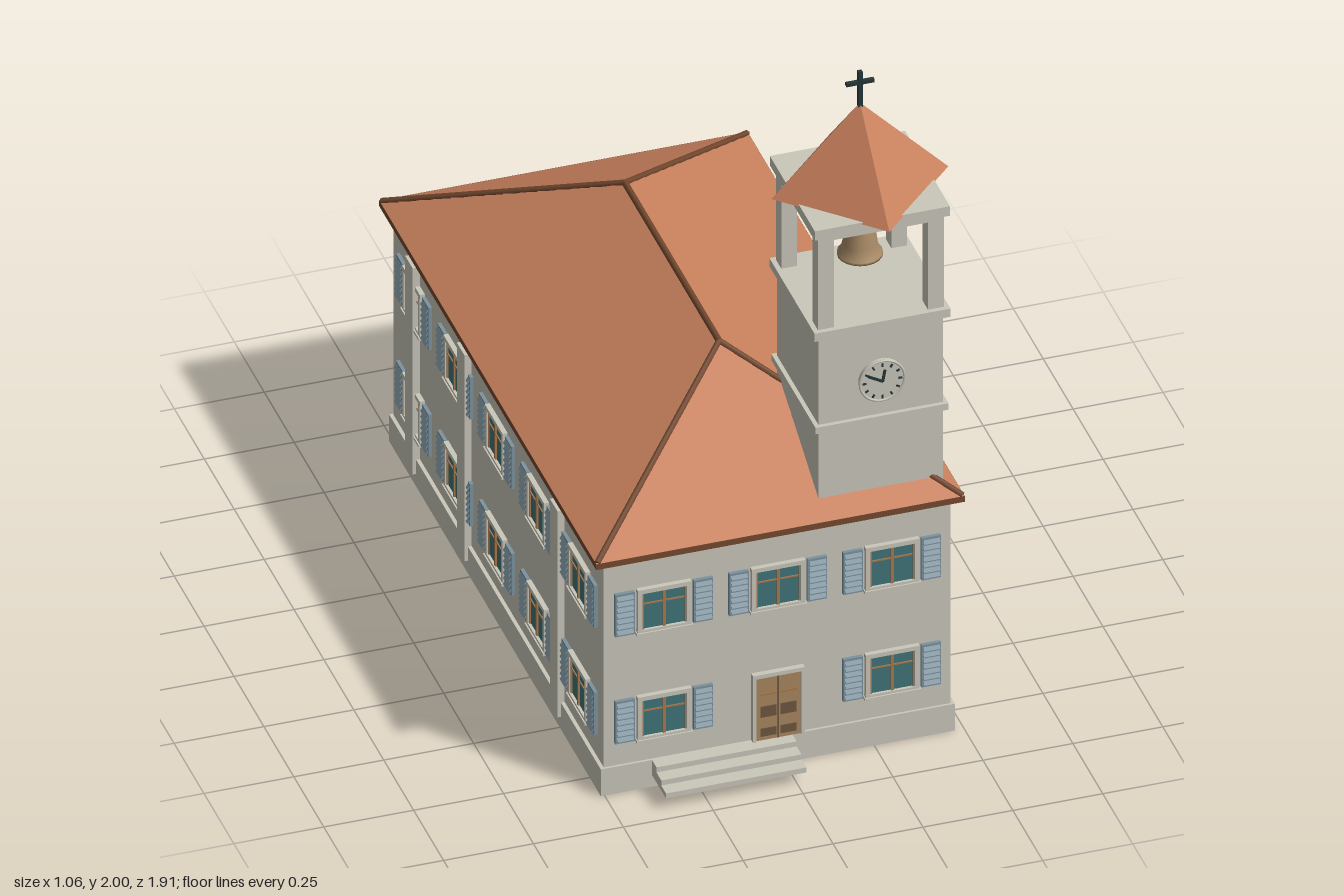
import * as THREE from 'three';

const mat = (name, color) => {
  const m = new THREE.MeshStandardMaterial({ color });
  m.name = name;
  return m;
};
const M = {
  wall: mat('plaster', 0xcac7ba),
  roof: mat('roof tile', 0xc8805c),
  trim: mat('roof trim', 0x74492f),
  shutter: mat('shutter blue', 0x7d939f),
  glass: mat('window glass', 0x3f7478),
  wood: mat('window wood', 0xa9784c),
  door: mat('door wood', 0xa88660),
  panel: mat('dark panel', 0x6e5540),
  iron: mat('dark iron', 0x263638),
  bell: mat('bell bronze', 0xa98b66),
};

function add(parent, name, geo, material, x = 0, y = 0, z = 0) {
  const m = new THREE.Mesh(geo, material);
  m.name = name;
  m.position.set(x, y, z);
  parent.add(m);
  return m;
}
const box = (parent, name, material, w, h, d, x, y, z) =>
  add(parent, name, new THREE.BoxGeometry(w, h, d), material, x, y, z);

function group(parent, name, x = 0, y = 0, z = 0) {
  const g = new THREE.Group();
  g.name = name;
  g.position.set(x, y, z);
  parent.add(g);
  return g;
}

// Round bar between two points
function bar(parent, name, material, a, b, r) {
  const m = add(parent, name, new THREE.CylinderGeometry(r, r, a.distanceTo(b), 6), material);
  m.position.copy(a).lerp(b, 0.5);
  m.quaternion.setFromUnitVectors(new THREE.Vector3(0, 1, 0), b.clone().sub(a).normalize());
}

// Window with frame, glazing bars and louvred shutters, built facing +z
function addWindow(wall, x, y, open = false) {
  const w = group(wall, 'window', x, y, 0);
  box(w, 'pane', open ? M.wall : M.glass, 0.13, 0.12, 0.006, 0, 0, 0.003);
  for (const s of [-1, 1]) {
    box(w, 'frameSide', M.wall, 0.013, 0.14, 0.014, s * 0.068, 0, 0.007);
    box(w, 'frameRail', M.wall, 0.15, 0.013, 0.014, 0, s * 0.064, 0.007);
    box(w, 'sashSide', M.wood, 0.004, 0.115, 0.006, s * 0.059, 0, 0.007);
    const sh = group(w, 'shutter', s * 0.109, 0, 0);
    box(sh, 'shutterBoard', M.shutter, 0.054, 0.134, 0.01, 0, 0, 0.005);
    for (let i = 0; i < 7; i++) {
      box(sh, 'louvre', M.shutter, 0.046, 0.012, 0.004, 0, -0.054 + i * 0.018, 0.012).rotation.x = -0.6;
    }
  }
  box(w, 'sill', M.wall, 0.156, 0.008, 0.018, 0, -0.069, 0.009);
  box(w, 'mullion', M.wood, 0.008, 0.115, 0.006, 0, 0, 0.008);
  box(w, 'glazingBar', M.wood, 0.115, 0.004, 0.005, 0, 0.022, 0.007);
}

// Hipped roof made of slightly lapped tile courses
function hipRoof(halfX, halfZ, y0, y1, courses, lip) {
  const pos = [];
  const ring = (t, out) => {
    const x = halfX * (1 - t) + out, z = halfZ - halfX * t + out, y = y0 + (y1 - y0) * t;
    return [[-x, y, z], [x, y, z], [x, y, -z], [-x, y, -z]];
  };
  const band = (a, b) => {
    for (let i = 0; i < 4; i++) {
      const j = (i + 1) % 4;
      pos.push(...a[i], ...a[j], ...b[j], ...a[i], ...b[j], ...b[i]);
    }
  };
  for (let k = 0; k < courses; k++) {
    const low = ring(k / courses, lip), high = ring((k + 1) / courses, 0);
    band(low, high);
    if (k < courses - 1) band(high, ring((k + 1) / courses, lip));
  }
  const g = new THREE.BufferGeometry();
  g.setAttribute('position', new THREE.Float32BufferAttribute(pos, 3));
  g.computeVertexNormals();
  return g;
}

export function createModel() {
  const model = new THREE.Group();
  model.name = 'townHall';
  const HX = 0.482, HZ = 0.878, ROWS = [0.225, 0.565];

  // Main building
  const house = group(model, 'house', -0.018, 0, -0.042);
  box(house, 'plinth', M.wall, 0.985, 0.085, 1.77, 0, 0.0425, 0);
  box(house, 'walls', M.wall, HX * 2, 0.66, HZ * 2, 0, 0.41, 0);

  const facade = (name, x, z, turn) => {
    const g = group(house, name, x, 0, z);
    g.rotation.y = turn;
    return g;
  };
  const front = facade('frontWall', 0, HZ, 0);
  const back = facade('backWall', 0, -HZ, Math.PI);
  for (const y of ROWS) {
    for (const x of [-0.317, 0, 0.317]) {
      if (x !== 0 || y > 0.4) addWindow(front, x, y);
      addWindow(back, x, y);
    }
  }
  for (const s of [-1, 1]) {
    const side = facade(s > 0 ? 'leftWall' : 'rightWall', s * HX, 0, s * Math.PI / 2);
    for (const y of ROWS) {
      for (let i = -2; i <= 2; i++) addWindow(side, -s * i * 0.346, y, s > 0 && i === 2);
    }
    for (const z of [0.52, -0.258, -0.69]) {
      box(side, 'pilaster', M.wall, 0.064, 0.655, 0.022, -s * z, 0.3675, 0.009);
    }
  }

  // Door
  const door = group(front, 'door', 0, 0.085, 0);
  box(door, 'doorLeaf', M.door, 0.126, 0.2, 0.01, 0, 0.1, 0.005);
  for (const s of [-1, 1]) {
    box(door, 'doorJamb', M.wall, 0.01, 0.212, 0.016, s * 0.067, 0.106, 0.008);
    box(door, 'doorPanel', M.panel, 0.044, 0.034, 0.006, s * 0.028, 0.09, 0.009);
    box(door, 'doorPanel', M.panel, 0.044, 0.025, 0.006, s * 0.028, 0.025, 0.009);
    box(door, 'doorRail', M.wood, 0.044, 0.006, 0.006, s * 0.028, 0.145, 0.009);
  }
  box(door, 'doorHead', M.wall, 0.144, 0.012, 0.016, 0, 0.206, 0.008);
  box(door, 'doorGap', M.panel, 0.003, 0.2, 0.006, 0, 0.1, 0.008);

  // Entrance steps
  for (let i = 0; i < 3; i++) {
    const d = 0.125 - i * 0.04;
    box(model, 'step', M.wall, 0.39, 0.016, d, -0.173, 0.045 + i * 0.016, 0.835 + d / 2);
  }

  // Main roof
  const RX = 0.508, RZ = 0.902, E = 0.755, R = 1.03;
  box(house, 'eaves', M.trim, 1.025, 0.018, 1.814, 0, 0.746, 0);
  add(house, 'tiledRoof', hipRoof(RX, RZ, E, R, 14, 0.004), M.roof);
  const ridge = [1, -1].map((s) => new THREE.Vector3(0, R, s * (RZ - RX)));
  bar(house, 'ridge', M.trim, ridge[0], ridge[1], 0.009);
  ridge.forEach((p, i) => {
    for (const sx of [-1, 1]) {
      bar(house, 'hip', M.trim, p, new THREE.Vector3(sx * RX, E, (i ? -1 : 1) * RZ), 0.009);
    }
  });

  // Bell tower
  const tower = group(model, 'bellTower', 0.282, 0, 0.627);
  box(tower, 'towerShaft', M.wall, 0.346, 0.55, 0.346, 0, 1.035, 0);
  box(tower, 'lowerLedge', M.wall, 0.37, 0.02, 0.37, 0, 1.012, 0);
  box(tower, 'upperLedge', M.wall, 0.378, 0.026, 0.378, 0, 1.312, 0);
  for (const x of [-1, 1]) {
    for (const z of [-1, 1]) box(tower, 'pillar', M.wall, 0.044, 0.29, 0.044, x * 0.153, 1.468, z * 0.153);
    box(tower, 'beamSide', M.wall, 0.044, 0.02, 0.346, x * 0.153, 1.612, 0);
    box(tower, 'beamCross', M.wall, 0.346, 0.02, 0.044, 0, 1.612, x * 0.153);
  }
  box(tower, 'topSlab', M.wall, 0.376, 0.03, 0.376, 0, 1.635, 0);
  add(tower, 'towerRoof', new THREE.ConeGeometry(0.246, 0.255, 4).toNonIndexed(), M.roof, 0, 1.7725, 0)
    .geometry.computeVertexNormals();

  // Bell and its hanger
  const profile = [[0, 0.1], [0.036, 0.1], [0.04, 0.092], [0.047, 0.04], [0.053, 0.015], [0.061, 0.008], [0.061, 0], [0, 0]];
  add(tower, 'bell', new THREE.LatheGeometry(profile.map((p) => new THREE.Vector2(...p)).reverse(), 20), M.bell, 0, 1.42, 0);
  add(tower, 'bellHanger', new THREE.CylinderGeometry(0.007, 0.007, 0.12, 8), M.iron, 0, 1.57, 0);

  // Finial cross
  box(tower, 'crossPost', M.iron, 0.012, 0.12, 0.012, 0, 1.94, 0);
  box(tower, 'crossArm', M.iron, 0.078, 0.01, 0.012, 0, 1.965, 0);

  // Clock
  const clock = group(tower, 'clock', 0, 1.135, 0.173);
  add(clock, 'clockFace', new THREE.CylinderGeometry(0.062, 0.062, 0.014, 32), M.wall, 0, 0, 0.007).rotation.x = Math.PI / 2;
  add(clock, 'clockRim', new THREE.TorusGeometry(0.062, 0.0035, 6, 32), M.wall, 0, 0, 0.014);
  for (let i = 0; i < 12; i++) {
    const a = i * Math.PI / 6;
    box(clock, 'hourMark', M.iron, 0.005, 0.01, 0.004, Math.sin(a) * 0.05, Math.cos(a) * 0.05, 0.015).rotation.z = -a;
  }
  for (const [a, len] of [[-1.05, 0.046], [0.17, 0.036]]) {
    box(clock, 'clockHand', M.iron, 0.007, len, 0.004, Math.sin(a) * len / 2, Math.cos(a) * len / 2, 0.018).rotation.z = -a;
  }
  return model;
}
